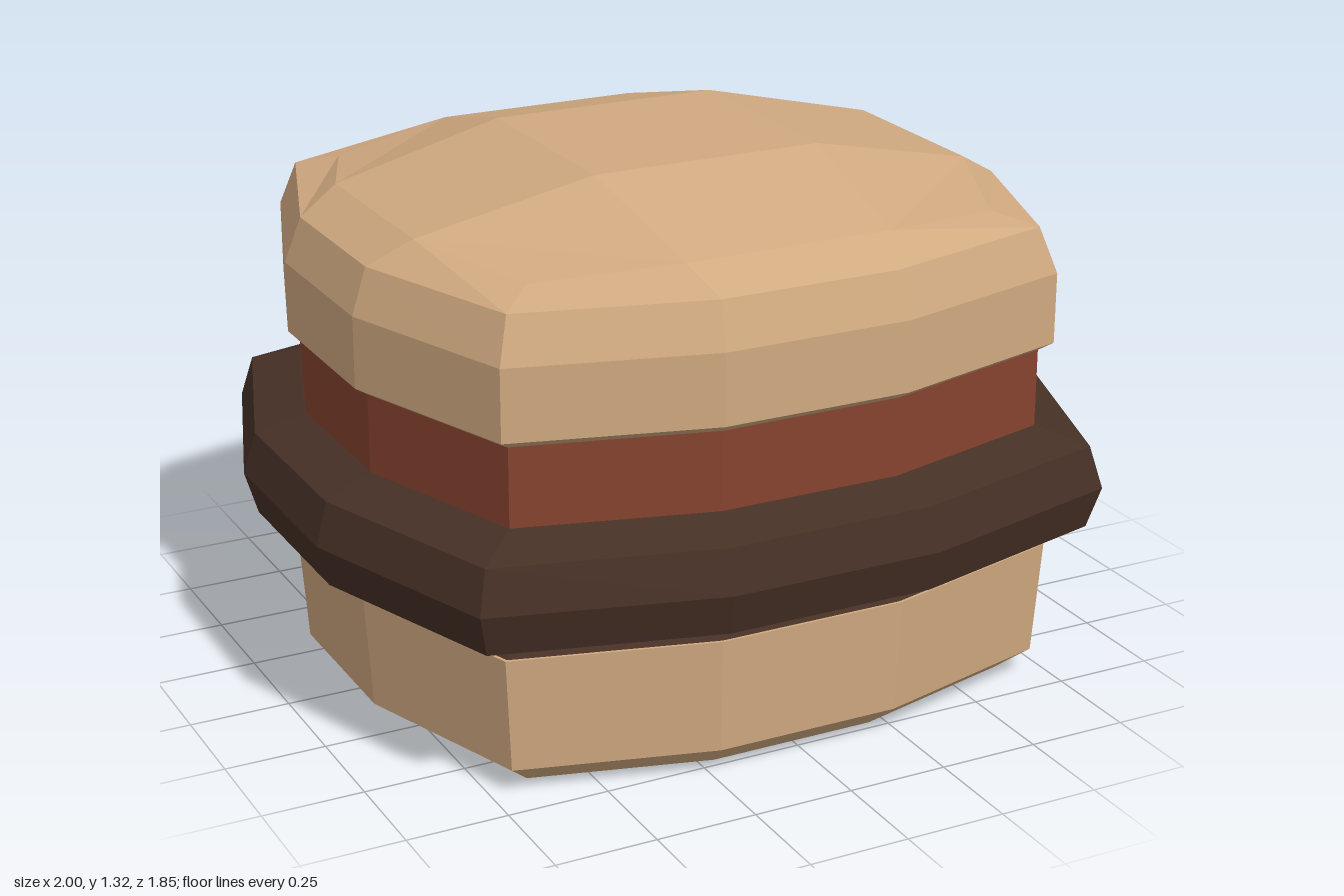
import * as THREE from 'three';

const flat = (name, color) => {
  const m = new THREE.MeshStandardMaterial({ color });
  m.name = name;
  return m;
};

// Twelve-sided rounded-square ring, running from +x towards +z:
// each side gives two edge points and one corner point.
function ring([y, halfX, halfZ, cornerDrop = 0, mid = 0.27]) {
  const points = [];
  const sides = [
    [[1, -mid], [1, mid], [0.82, 0.84]],
    [[mid, 1], [-mid, 1], [-0.82, 0.84]],
    [[-1, mid], [-1, -mid], [-0.82, -0.84]],
    [[-mid, -1], [mid, -1], [0.82, -0.84]],
  ];
  for (const side of sides) {
    side.forEach(([u, v], i) => {
      points.push([u * halfX, y - (i === 2 ? cornerDrop : 0), v * halfZ]);
    });
  }
  return points;
}

// Stacks rings into a closed solid; a dome finishes in a raised square of four points.
function stack(name, material, profile, dome) {
  const positions = [];
  const tri = (a, b, c) => positions.push(...a, ...b, ...c);
  const quad = (a, b, c, d) => { tri(a, b, c); tri(a, c, d); };
  const rings = profile.map(ring);
  const n = 12;

  for (let r = 0; r < rings.length - 1; r++) {
    const low = rings[r], high = rings[r + 1];
    for (let i = 0; i < n; i++) {
      const j = (i + 1) % n;
      quad(low[i], high[i], high[j], low[j]);
    }
  }

  const bottom = rings[0], top = rings[rings.length - 1];
  for (let i = 1; i < n - 1; i++) tri(bottom[0], bottom[i], bottom[i + 1]);

  if (dome) {
    const [y, x, z] = dome;
    const peak = [[x, y, -z], [x, y, z], [-x, y, z], [-x, y, -z]];
    for (let k = 0; k < 4; k++) {
      const next = peak[(k + 1) % 4], e = 3 * k;
      quad(top[e], peak[k], next, top[e + 1]);
      quad(top[e + 1], next, top[(e + 3) % n], top[e + 2]);
    }
    quad(peak[3], peak[2], peak[1], peak[0]);
  } else {
    for (let i = 1; i < n - 1; i++) tri(top[0], top[i + 1], top[i]);
  }

  const geometry = new THREE.BufferGeometry();
  geometry.setAttribute('position', new THREE.Float32BufferAttribute(positions, 3));
  geometry.computeVertexNormals(); // unshared corners keep every facet flat
  const mesh = new THREE.Mesh(geometry, material);
  mesh.name = name;
  return mesh;
}

export function createModel() {
  const bun = flat('bun', 0xd0a980);
  const tomato = flat('tomato', 0x86432f);
  const patty = flat('patty', 0x463026);

  const group = new THREE.Group();
  group.name = 'burger';
  group.add(
    // Base with a bevelled underside
    stack('bottomBun', bun, [
      [0, 0.78, 0.725],
      [0.065, 0.86, 0.8],
      [0.35, 0.88, 0.815],
    ]),
    // Thin dark layer resting on the base
    stack('sauce', patty, [
      [0.35, 0.872, 0.808],
      [0.37, 0.845, 0.783],
    ]),
    // Bulging meat layer
    stack('patty', patty, [
      [0.365, 0.85, 0.785],
      [0.41, 0.97, 0.895],
      [0.515, 1, 0.925],
      [0.62, 0.97, 0.895],
      [0.66, 0.85, 0.785],
    ]),
    // Straight-sided slice
    stack('tomato', tomato, [
      [0.655, 0.847, 0.785],
      [0.86, 0.847, 0.785],
    ]),
    // Domed crown
    stack('topBun', bun, [
      [0.855, 0.85, 0.787],
      [0.875, 0.88, 0.815],
      [1.05, 0.88, 0.815],
      [1.16, 0.84, 0.775],
      [1.22, 0.735, 0.675, 0.03, 0.36],
    ], [1.32, 0.295, 0.275]),
  );
  return group;
}
